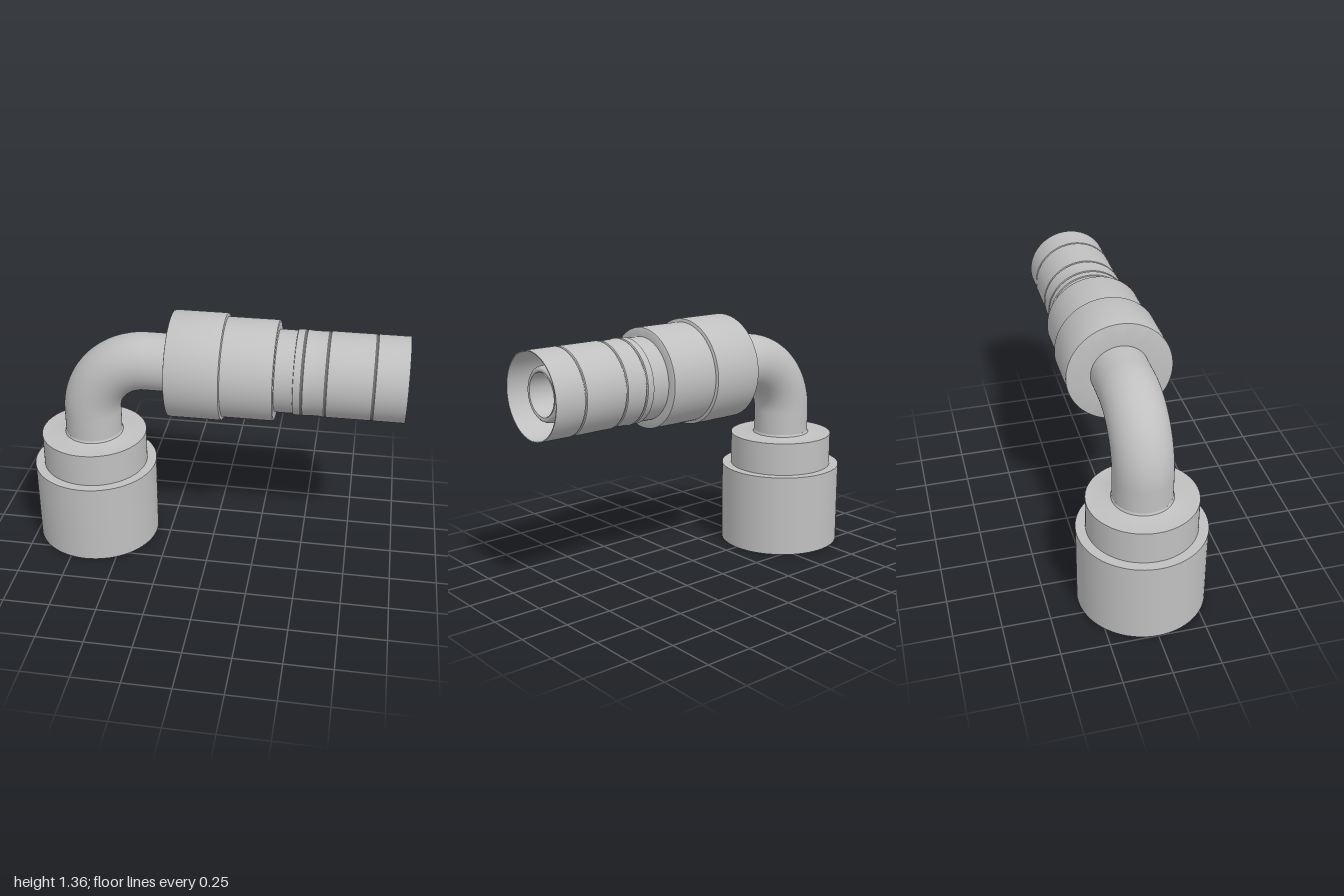
import * as THREE from 'three';
import { toCreasedNormals } from 'three/addons/utils/BufferGeometryUtils.js';

const AXIS_X = -0.663, AXIS_Y = 1.08, BEND = 0.305;

export function createModel() {
  const model = new THREE.Group();
  model.name = 'elbowHoseFitting';
  const steel = new THREE.MeshStandardMaterial({ color: 0xc0c0c0, side: THREE.DoubleSide });
  steel.name = 'steel grey';

  const add = (parent, name, geometry) => {
    const mesh = new THREE.Mesh(geometry, steel);
    mesh.name = name;
    parent.add(mesh);
    return mesh;
  };

  // Turned part: [radius, distance along axis], outside forwards, inside backwards
  const turned = (name, profile) => add(model, name, toCreasedNormals(
    new THREE.LatheGeometry(profile.map(([r, y]) => new THREE.Vector2(r, y)), 80), 0.6));

  // Straight, quarter bend, straight
  const elbow = (name, r, bottom, end) => {
    const group = new THREE.Group();
    group.name = name;
    const bendY = AXIS_Y - BEND, bendX = AXIS_X + BEND;
    const riser = add(group, name + 'Riser', new THREE.CylinderGeometry(r, r, bendY - bottom, 64, 1, true));
    riser.position.set(AXIS_X, (bendY + bottom) / 2, 0);
    const bend = add(group, name + 'Bend', new THREE.TorusGeometry(BEND, r, 64, 40, Math.PI / 2));
    bend.rotation.z = Math.PI / 2;
    bend.position.set(bendX, bendY, 0);
    const run = add(group, name + 'Run', new THREE.CylinderGeometry(r, r, end - bendX, 64, 1, true));
    run.rotation.z = -Math.PI / 2;
    run.position.set((end + bendX) / 2, AXIS_Y, 0);
    model.add(group);
  };
  elbow('pipe', 0.153, 0.63, -0.2);
  elbow('bore', 0.108, 0.42, 0.94);

  // Stepped swivel nut with open socket and small fillet at the pipe
  const nut = turned('swivelNut', [
    [0.322, 0], [0.336, 0], [0.336, 0.452], [0.285, 0.452], [0.285, 0.634],
    [0.168, 0.634], [0.158, 0.638], [0.153, 0.65],
    [0.108, 0.65], [0.108, 0.42], [0.195, 0.42], [0.21, 0.17], [0.32, 0.17], [0.322, 0],
  ]);
  nut.position.x = AXIS_X;

  // Collar: two steps with softened edges
  const collar = turned('collar', [
    [0.153, -0.217], [0.272, -0.217], [0.278, -0.215], [0.28, -0.208],
    [0.28, 0.056], [0.278, 0.063], [0.272, 0.066], [0.262, 0.067],
    [0.262, 0.324], [0.26, 0.332], [0.253, 0.336], [0.2, 0.336],
  ]);

  // Crimp sleeve with shallow grooves, open at the end around the nipple
  const sleeveProfile = [[0.2, 0.33], [0.215, 0.33], [0.215, 0.43], [0.221, 0.432]];
  for (const x of [0.475, 0.595, 0.833]) {
    sleeveProfile.push([0.222, x - 0.006], [0.217, x - 0.002], [0.217, x + 0.002], [0.222, x + 0.006]);
    if (x === 0.475) sleeveProfile.push([0.219, 0.51], [0.219, 0.56]);
  }
  sleeveProfile.push([0.222, 1], [0.217, 1], [0.215, 0.84], [0.205, 0.82], [0.205, 0.5], [0.13, 0.5]);
  const sleeve = turned('crimpSleeve', sleeveProfile);

  // Inner nipple with a rounded tip
  const nipple = turned('nipple', [
    [0.14, 0.49], [0.14, 0.905], [0.138, 0.92], [0.133, 0.932],
    [0.125, 0.939], [0.117, 0.94], [0.111, 0.937], [0.108, 0.93],
  ]);

  for (const part of [collar, sleeve, nipple]) {
    part.rotation.z = -Math.PI / 2;
    part.position.y = AXIS_Y;
  }
  return model;
}
